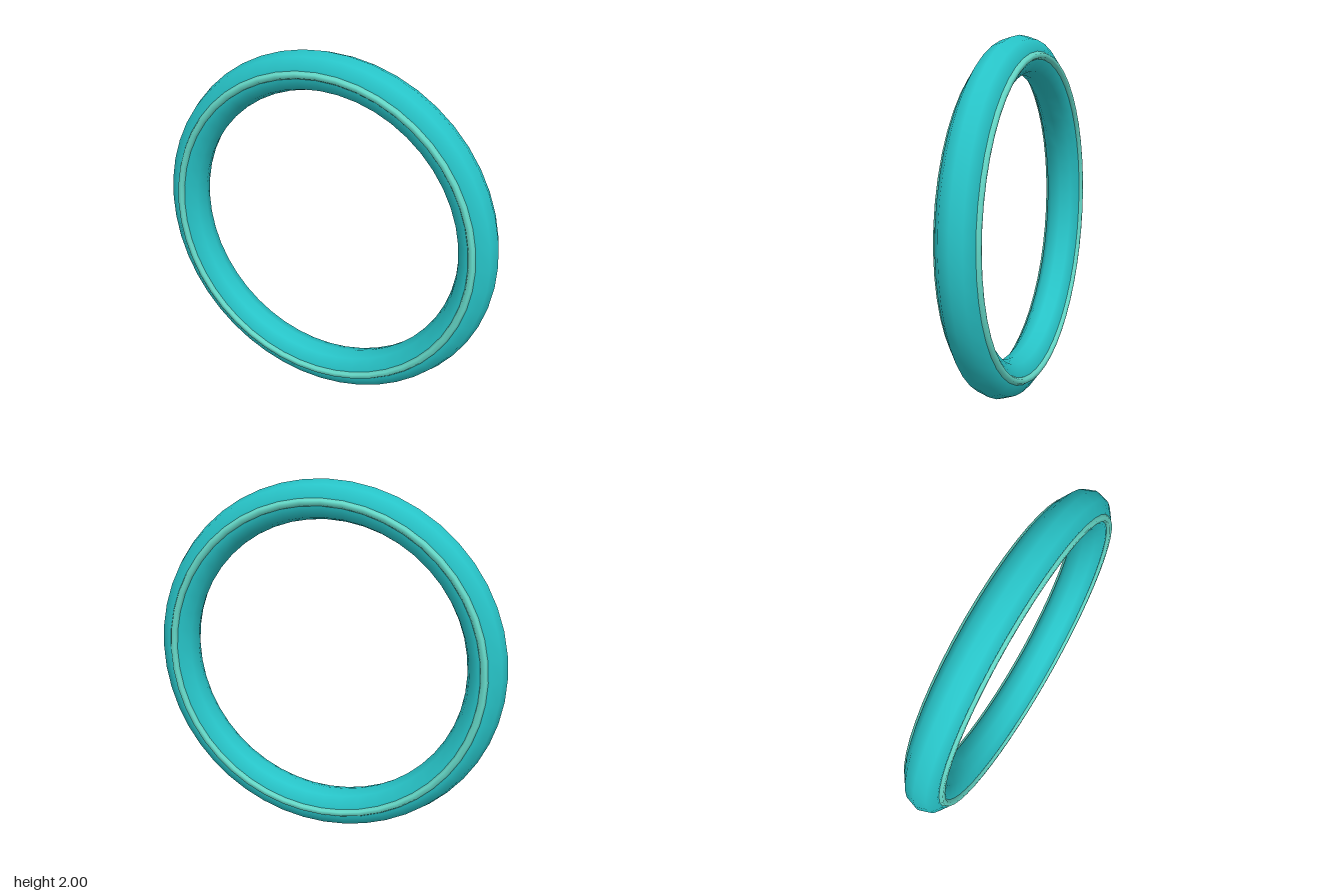
import * as THREE from 'three';

export function createModel() {
  const teal = new THREE.MeshStandardMaterial({ color: 0x27c4c8 });
  teal.name = 'teal';
  const mint = new THREE.MeshStandardMaterial({ color: 0x66dccb });
  mint.name = 'paleMint';

  const model = new THREE.Group();
  model.name = 'hoop';

  const addRing = (name, radius, tube, sides, z, material) => {
    const ring = new THREE.Mesh(new THREE.TorusGeometry(radius, tube, sides, 48), material);
    ring.name = name;
    ring.position.set(0, 1, z);
    model.add(ring);
  };

  // Thick main tube
  addRing('mainTube', 0.893, 0.107, 10, 0, teal);

  // Thin trim bead on the front and back faces
  addRing('frontTrim', 0.893, 0.022, 6, 0.1, mint);
  addRing('backTrim', 0.893, 0.022, 6, -0.1, mint);

  return model;
}
